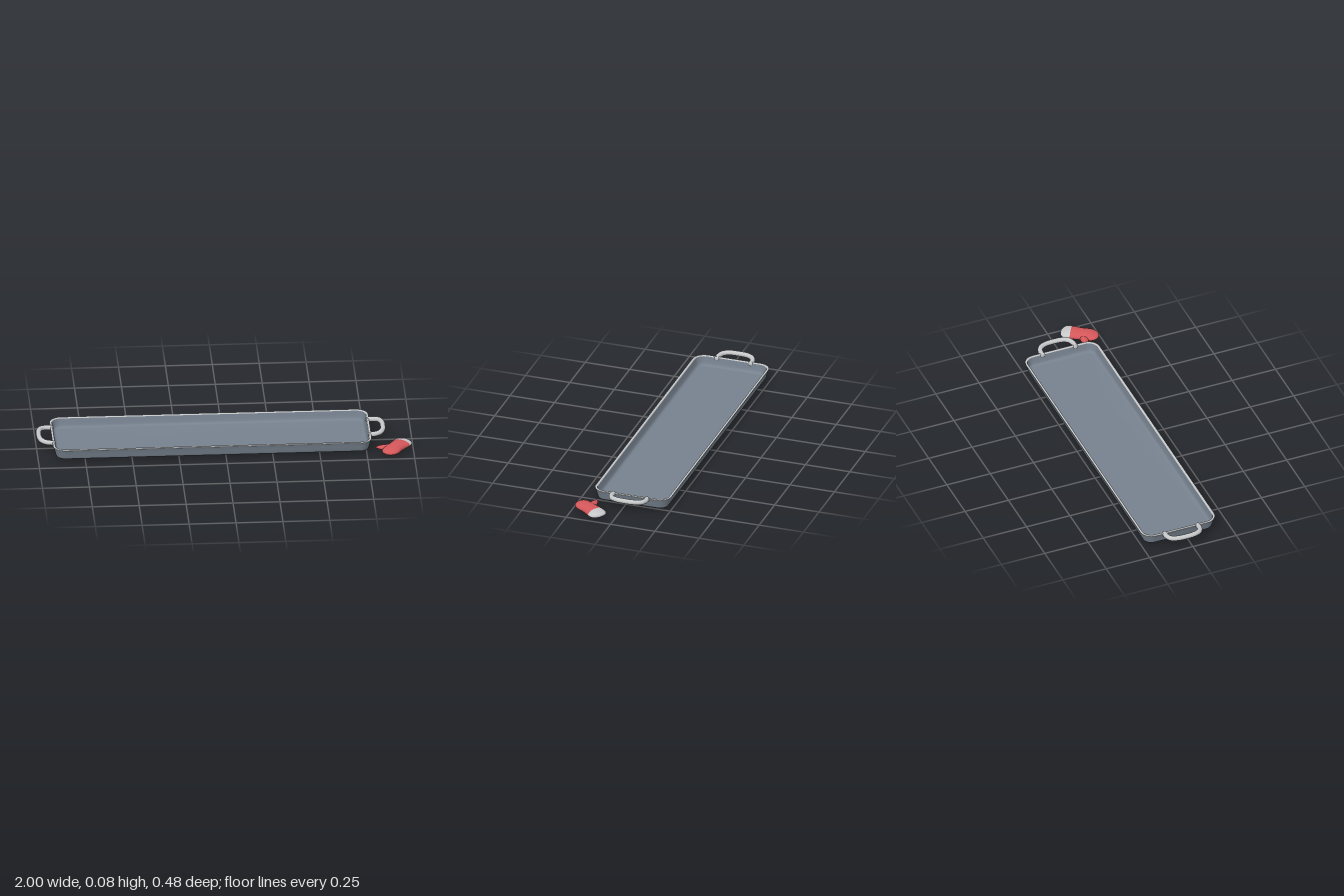
import * as THREE from 'three';

const steel = new THREE.MeshStandardMaterial({ name: 'slateGrey', color: 0x77828f });
const pale = new THREE.MeshStandardMaterial({ name: 'paleGrey', color: 0xc6c8ca });
const red = new THREE.MeshStandardMaterial({ name: 'mittRed', color: 0xd4575a });

// Skin a list of closed rings; slot(i) picks the material index of band i
function loft(rings, slot) {
  const n = rings[0].length, pos = [], index = [];
  rings.forEach(r => r.forEach(p => pos.push(p.x, p.y, p.z)));
  const geo = new THREE.BufferGeometry();
  for (let i = 0; i < rings.length - 1; i++) {
    geo.addGroup(index.length, n * 6, slot(i));
    for (let j = 0; j < n; j++) {
      const a = i * n + j, b = i * n + (j + 1) % n;
      index.push(a, a + n, b, b, a + n, b + n);
    }
  }
  geo.setAttribute('position', new THREE.Float32BufferAttribute(pos, 3));
  geo.setIndex(index);
  geo.computeVertexNormals();
  return geo;
}

// Rounded rectangle ring, pulled in by inset at height y
const HX = 0.85, HZ = 0.214, CORNER = 0.065;
function trayRing(inset, y) {
  const r = Math.max(CORNER - inset, 0.012), ring = [];
  for (let q = 0; q < 4; q++) {
    const sx = q === 0 || q === 3 ? 1 : -1, sz = q < 2 ? 1 : -1;
    for (let k = 0; k <= 8; k++) {
      const a = (q + k / 8) * Math.PI / 2;
      ring.push(new THREE.Vector3(
        sx * (HX - inset - r) + r * Math.cos(a), y,
        sz * (HZ - inset - r) + r * Math.sin(a)));
    }
  }
  return ring;
}

function buildTray() {
  // Section: underside, outer wall, rim, inner wall, floor
  const section = [
    [0.035, 0.008], [0.026, 0.009], [0.019, 0.013], [0.015, 0.021],
    [0.009, 0.045], [0.003, 0.062], [0.001, 0.066],
    [0.001, 0.069], [0.005, 0.071], [0.010, 0.071], [0.013, 0.069],
    [0.014, 0.066], [0.018, 0.045], [0.021, 0.030], [0.025, 0.023],
    [0.032, 0.019], [0.042, 0.018],
  ];
  const rings = section.map(s => trayRing(...s));
  const centre = y => rings[0].map(() => new THREE.Vector3(0, y, 0));
  rings.unshift(centre(0.008));
  rings.push(centre(0.018));
  const tray = new THREE.Mesh(loft(rings, i => (i >= 7 && i <= 11 ? 1 : 0)), [steel, pale]);
  tray.name = 'tray';
  return tray;
}

function buildHandle(side) {
  // Bowed grip rising gently away from the rim
  const half = [[0.838, 0.062, 0.095], [0.868, 0.064, 0.095], [0.897, 0.067, 0.082], [0.913, 0.069, 0.05]];
  const pts = [...half, [0.917, 0.069, 0], ...half.slice().reverse().map(([x, y, z]) => [x, y, -z])]
    .map(([x, y, z]) => new THREE.Vector3(side * x, y, z));
  const handle = new THREE.Group();
  handle.name = side > 0 ? 'leftHandle' : 'rightHandle';
  const grip = new THREE.Mesh(
    new THREE.TubeGeometry(new THREE.CatmullRomCurve3(pts), 48, 0.0135, 14), pale);
  grip.name = 'handleGrip';
  handle.add(grip);
  // Rounded ends
  for (const p of [pts[0], pts[pts.length - 1]]) {
    const end = new THREE.Mesh(new THREE.SphereGeometry(0.0135, 14, 10), pale);
    end.name = 'handleEnd';
    end.position.copy(p);
    end.scale.x = 0.5;
    handle.add(end);
  }
  return handle;
}

function buildMitt() {
  const mitt = new THREE.Group();
  mitt.name = 'ovenMitt';
  // Distance from the cuff end, half width, sideways shift
  const outline = [
    [0, 0, -0.003], [0.003, 0.022, -0.003], [0.012, 0.038, -0.001], [0.027, 0.049, 0.002],
    [0.055, 0.050, 0.001], [0.085, 0.046, -0.002], [0.12, 0.044, -0.005], [0.156, 0.046, -0.006],
    [0.180, 0.042, -0.008], [0.197, 0.029, -0.009], [0.205, 0.014, -0.009], [0.207, 0, -0.009],
  ];
  const path = new THREE.CatmullRomCurve3(outline.map(p => new THREE.Vector3(...p)));
  const stations = path.getPoints(66);
  const rings = stations.map(({ x: t, y: w, z: shift }) => {
    const u = (t - 0.1035) / 0.1035;
    const h = 0.0245 * Math.pow(Math.max(0, 1 - u * u), 0.45);
    return Array.from({ length: 28 }, (_, j) => {
      const a = -j / 28 * Math.PI * 2;
      const s = shift + Math.max(0, w) * Math.cos(a);
      return new THREE.Vector3(
        0.965 - 0.51 * t + 0.86 * s, 0.0248 + h * Math.sin(a), 0.06 + 0.86 * t + 0.51 * s);
    });
  });
  const body = new THREE.Mesh(loft(rings, i => (stations[i].x < 0.053 ? 1 : 0)), [red, pale]);
  body.name = 'mittBodyAndCuff';
  mitt.add(body);
  // Thumb, narrower towards the tip
  const thumbGeo = new THREE.SphereGeometry(1, 24, 16);
  const p = thumbGeo.attributes.position;
  for (let i = 0; i < p.count; i++) {
    const k = 1 + 0.3 * p.getX(i);
    p.setXYZ(i, p.getX(i) * 0.052, p.getY(i) * 0.015 * k, p.getZ(i) * 0.021 * k);
  }
  thumbGeo.computeVertexNormals();
  const thumb = new THREE.Mesh(thumbGeo, red);
  thumb.name = 'mittThumb';
  thumb.position.set(0.85, 0.0235, 0.15);
  thumb.rotation.y = -0.1;
  mitt.add(thumb);
  return mitt;
}

export function createModel() {
  const model = new THREE.Group();
  model.name = 'servingTrayWithMitt';
  const pan = new THREE.Group();
  pan.name = 'handledTray';
  pan.position.set(-0.07, 0, -0.031);
  pan.add(buildTray(), buildHandle(1), buildHandle(-1));
  model.add(pan, buildMitt());
  return model;
}
